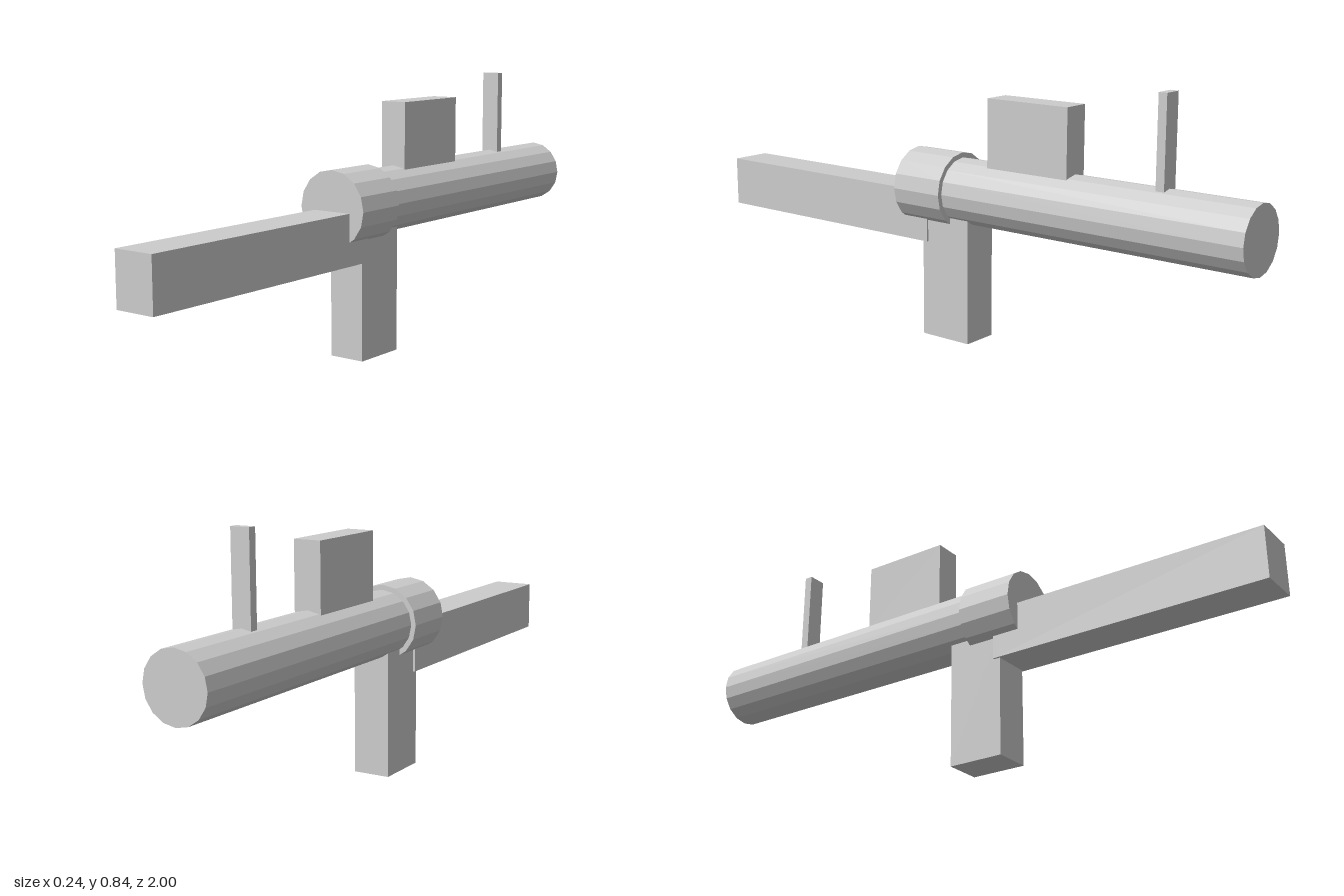
import * as THREE from 'three';

export function createModel() {
  const group = new THREE.Group();
  const material = new THREE.MeshStandardMaterial({ color: 0xcccccc, flatShading: true });
  const axisY = 0.475;

  const add = (name, geometry) => {
    const mesh = new THREE.Mesh(geometry, material);
    mesh.name = name;
    group.add(mesh);
  };

  // Box centred on x, given by its width and its y and z ranges
  const box = (name, width, y0, y1, z0, z1) =>
    add(name, new THREE.BoxGeometry(width, y1 - y0, z1 - z0)
      .translate(0, (y0 + y1) / 2, (z0 + z1) / 2));

  // 16-sided cylinder lying along z on the common axis
  const tube = (name, radius, z0, z1) =>
    add(name, new THREE.CylinderGeometry(radius, radius, z1 - z0, 16)
      .rotateX(Math.PI / 2)
      .translate(0, axisY, (z0 + z1) / 2));

  // Main tube and the wider collar around its end
  tube('mainTube', 0.102, -1, 0.04);
  tube('collar', 0.118, 0.02, 0.2);

  // Long bar running forward, and the upright handle below
  box('frontBar', 0.133, 0.307, 0.467, 0.11, 1);
  box('handle', 0.12, 0, 0.4, -0.05, 0.13);

  // Block and thin post on top of the tube
  box('topBlock', 0.088, 0.56, 0.778, -0.403, -0.113);
  box('topPost', 0.06, 0.56, 0.845, -0.718, -0.691);

  return group;
}
